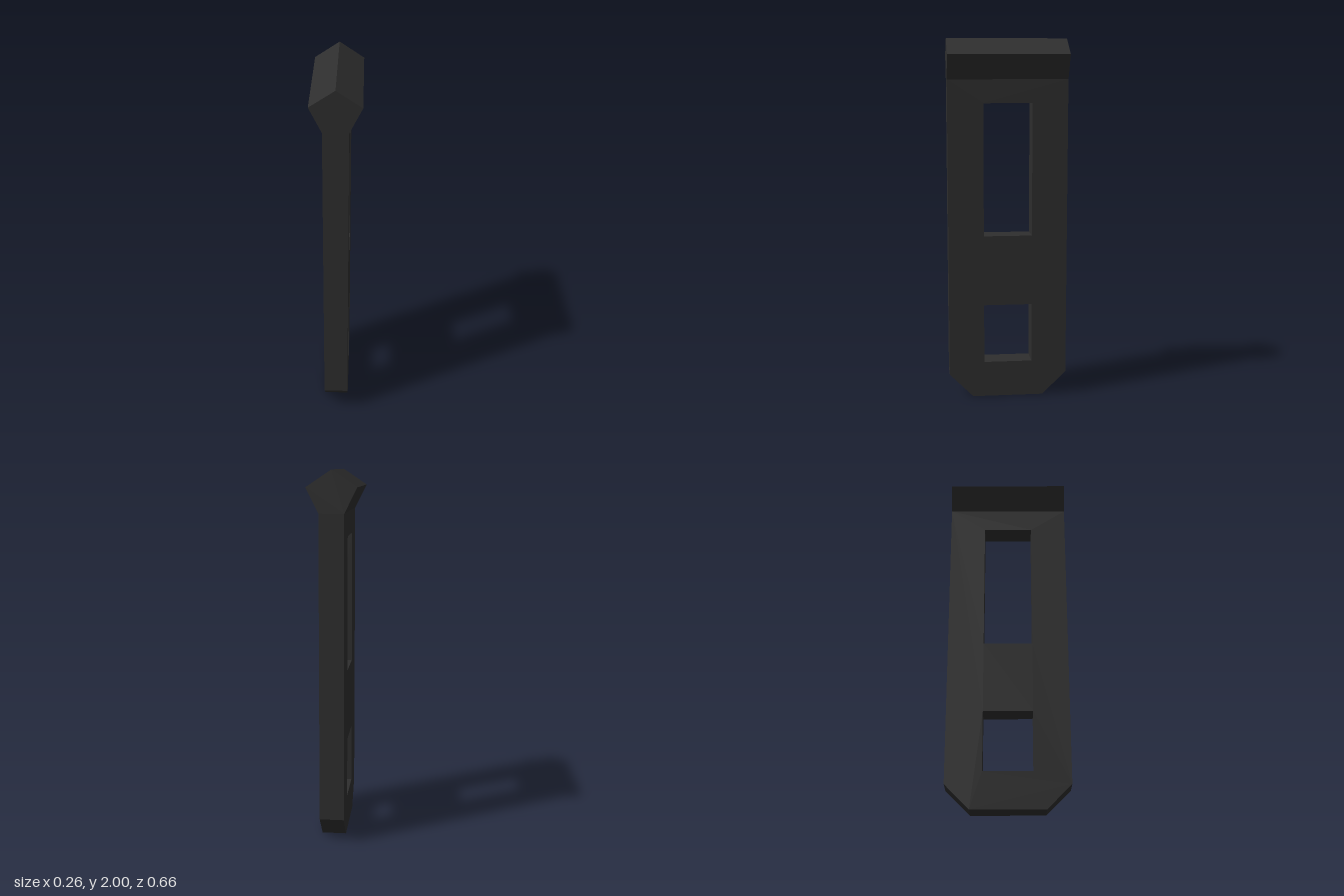
import * as THREE from 'three';

const charcoal = new THREE.MeshStandardMaterial({ color: 0x2e2e2e, flatShading: true });
charcoal.name = 'charcoal';

const points = (list) => list.map(([x, y]) => new THREE.Vector2(x, y));

// Flat outline extruded to a depth centred on z = 0
function extrudeCentred(shape, depth) {
  const geometry = new THREE.ExtrudeGeometry(shape, { depth, bevelEnabled: false });
  return geometry.translate(0, 0, -depth / 2);
}

function addPart(group, name, geometry) {
  const mesh = new THREE.Mesh(geometry, charcoal);
  mesh.name = name;
  group.add(mesh);
}

export function createModel() {
  const group = new THREE.Group();
  group.name = 'slottedPost';
  const halfWidth = 0.33, halfThickness = 0.066, neckY = 1.78;

  // Upright plate with chamfered foot and two rectangular slots
  const plate = new THREE.Shape(points([
    [-0.198, 0], [0.198, 0], [halfWidth, 0.132],
    [halfWidth, neckY], [-halfWidth, neckY], [-halfWidth, 0.132],
  ]));
  for (const [bottom, top] of [[0.2, 0.53], [0.922, 1.652]]) {
    plate.holes.push(new THREE.Path(points([
      [-0.134, bottom], [-0.134, top], [0.134, top], [0.134, bottom],
    ])));
  }
  addPart(group, 'plate', extrudeCentred(plate, halfThickness * 2).rotateY(Math.PI / 2));

  // Ridged cap flaring out above the neck
  const cap = new THREE.Shape(points([
    [-halfThickness, neckY], [halfThickness, neckY],
    [0.132, 1.912], [0, 2], [-0.132, 1.912],
  ]));
  addPart(group, 'cap', extrudeCentred(cap, halfWidth * 2));

  return group;
}
